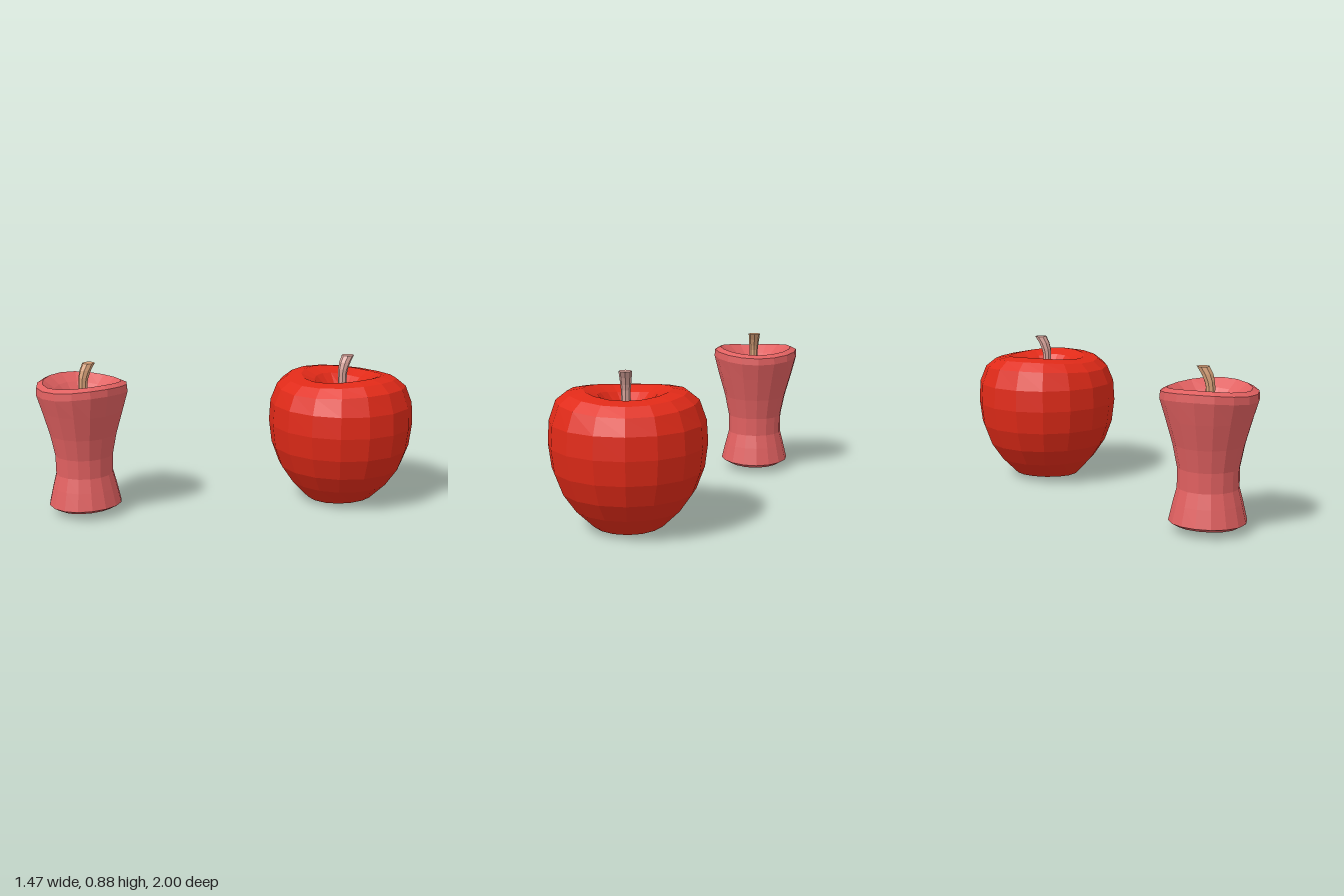
import * as THREE from 'three';

// Faceted lathe; shape(v) may nudge each vertex afterwards
function turned(name, profile, sides, color, shape) {
  const geometry = new THREE.LatheGeometry(profile.map(([r, y]) => new THREE.Vector2(r, y)), sides);
  const pos = geometry.attributes.position;
  const v = new THREE.Vector3();
  for (let i = 0; i < pos.count; i++) {
    shape(v.fromBufferAttribute(pos, i));
    pos.setXYZ(i, v.x, v.y, v.z);
  }
  geometry.computeVertexNormals();
  const mesh = new THREE.Mesh(geometry, new THREE.MeshStandardMaterial({
    color, flatShading: true, side: THREE.DoubleSide,
  }));
  mesh.name = name;
  return mesh;
}

// Saddle-shaped unevenness of the rim and base: higher at the sides than front and back
function saddle(v, amount, start) {
  const r = Math.hypot(v.x, v.z);
  if (r < 0.05) return;
  const wave = (v.x * v.x - v.z * v.z) / (r * r);
  if (v.y > start) v.y += amount * wave;
  else if (v.y < 0.1) v.y += 0.004 * wave;
}

// Short stalk, flared at the top and bent towards the back
function makeStem(name, base, color) {
  const profile = [
    [0, base], [0.026, base], [0.026, 0.77], [0.029, 0.8],
    [0.033, 0.84], [0.036, 0.878], [0, 0.878],
  ];
  return turned(name, profile, 8, color, (v) => {
    const t = Math.max(0, (v.y - 0.76) / 0.118);
    v.z -= 0.042 * t * t;
  });
}

export function createModel() {
  const model = new THREE.Group();
  model.name = 'appleAndCore';

  // Whole apple, with a dimple at each end
  const apple = new THREE.Group();
  apple.name = 'apple';
  apple.position.set(0.303, 0, -0.578);
  const appleProfile = [
    [0, 0.07], [0.025, 0.07], [0.06, 0.035], [0.12, 0.006], [0.2, 0.025],
    [0.3, 0.125], [0.37, 0.225], [0.415, 0.345], [0.432, 0.48], [0.424, 0.605],
    [0.385, 0.705], [0.325, 0.752], [0.24, 0.767], [0.16, 0.735], [0.09, 0.67],
    [0.035, 0.6], [0, 0.59],
  ];
  const skin = turned('appleBody', appleProfile, 16, 0xe02a18, (v) => {
    saddle(v, 0.011, 0.69);
    v.z *= 0.978;
  });
  const appleStem = makeStem('appleStem', 0.58, 0xd8a39a);
  appleStem.position.x = 0.009;
  apple.add(skin, appleStem);

  // Eaten core: waisted body with a bowl-shaped top
  const core = new THREE.Group();
  core.name = 'core';
  core.position.set(-0.475, 0, 0.735);
  const coreProfile = [
    [0, 0.085], [0.022, 0.085], [0.06, 0.055], [0.12, 0.031], [0.17, 0.034],
    [0.212, 0.058], [0.188, 0.16], [0.167, 0.24], [0.168, 0.35], [0.193, 0.475],
    [0.233, 0.615], [0.264, 0.725], [0.26, 0.766], [0.225, 0.783], [0.16, 0.735],
    [0.09, 0.67], [0.035, 0.61], [0, 0.6],
  ];
  const flesh = turned('coreBody', coreProfile, 16, 0xe06060, (v) => saddle(v, 0.011, 0.69));
  const coreStem = makeStem('coreStem', 0.59, 0xd9a27a);
  coreStem.position.set(0.012, 0.004, 0);
  core.add(flesh, coreStem);

  model.add(apple, core);
  return model;
}
